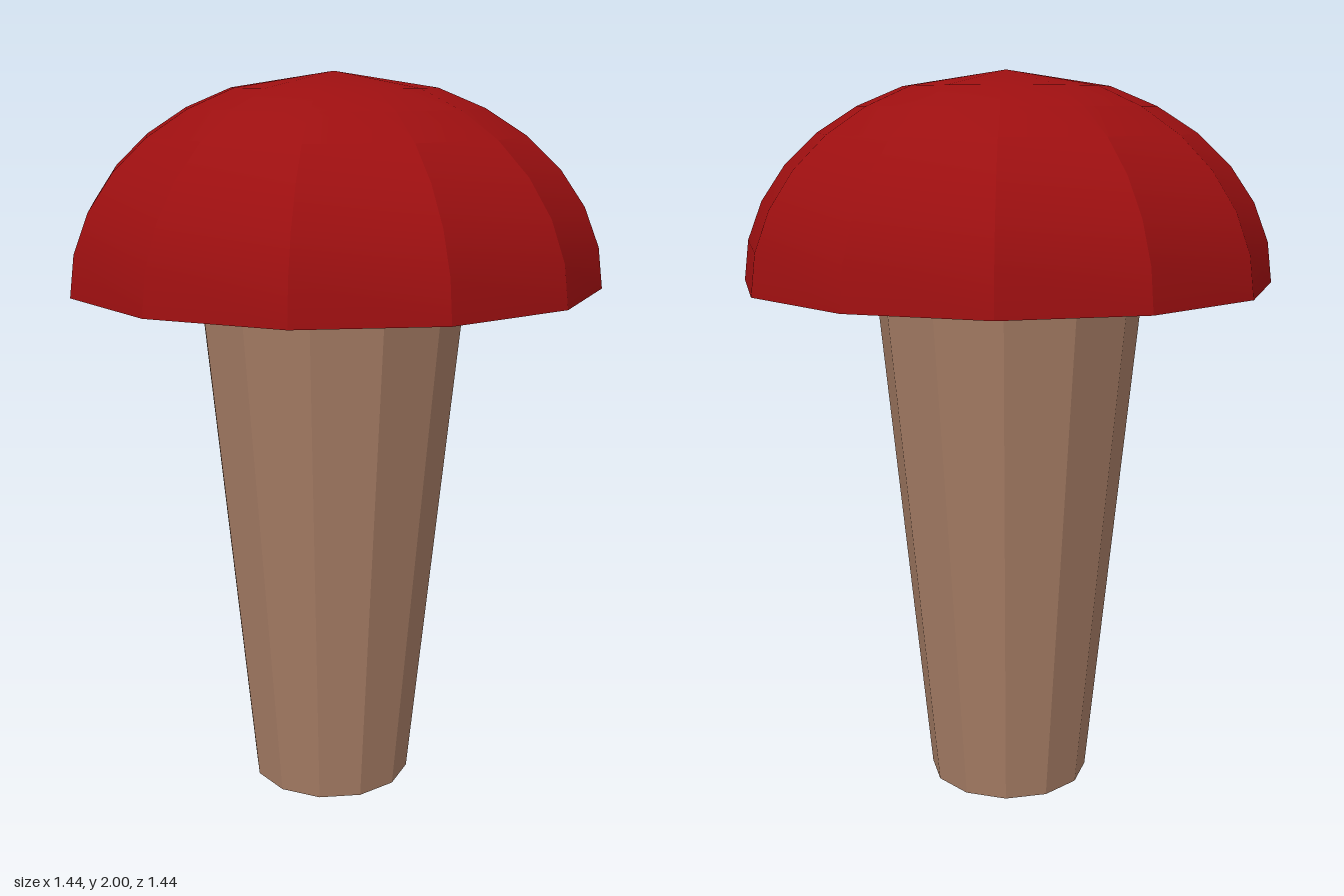
import * as THREE from 'three';
import { toCreasedNormals } from 'three/addons/utils/BufferGeometryUtils.js';

const SIDES = 12;
const TWIST = -0.034; // slight turn shared by cap and stem
const RIM_Y = 1.44, CAP_R = 0.722, CAP_H = 0.56;

export function createModel() {
  const red = new THREE.MeshStandardMaterial({ color: 0x9c0f10 });
  red.name = 'capRed';
  const brown = new THREE.MeshStandardMaterial({ color: 0xa57c64 });
  brown.name = 'stemBrown';

  const group = new THREE.Group();
  group.name = 'mushroom';

  // Cap: flat underside, then an elliptical dome ending in a shallow peak
  const profile = [new THREE.Vector2(0, RIM_Y)];
  for (const deg of [0, 11.25, 22.5, 33.75, 45, 56.25, 67.5, 90]) {
    const t = THREE.MathUtils.degToRad(deg);
    const r = deg === 90 ? 0 : CAP_R * Math.cos(t);
    profile.push(new THREE.Vector2(r, RIM_Y + CAP_H * Math.sin(t)));
  }
  const dome = new THREE.LatheGeometry(profile, SIDES, TWIST);
  const cap = new THREE.Mesh(toCreasedNormals(dome, 0.29), red);
  cap.name = 'cap';
  group.add(cap);

  // Stem: faceted taper, narrow at the foot and tucked just inside the cap
  const height = RIM_Y + 0.01;
  const taper = new THREE.CylinderGeometry(0.37, 0.226, height, SIDES, 1, false, TWIST);
  const stem = new THREE.Mesh(toCreasedNormals(taper, 0.2), brown);
  stem.name = 'stem';
  stem.position.set(-0.007, height / 2, -0.003);
  group.add(stem);

  return group;
}
